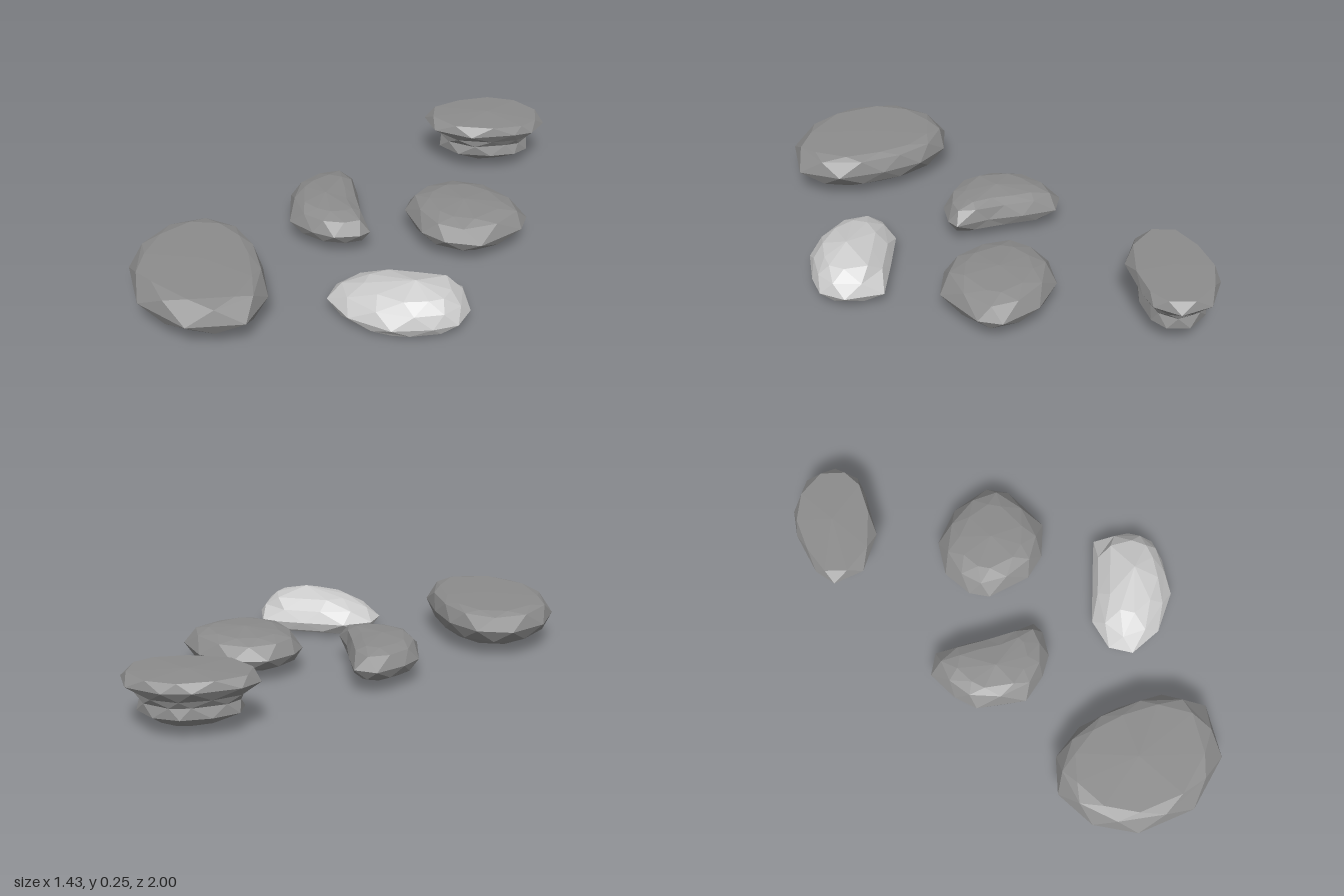
import * as THREE from 'three';

const DARK = 0x8c8c8c, LIGHT = 0xcccccc;

// Side profiles, bottom to top: [fraction of height, scale of the outline]
const flatTop = [[0.04, 0.71], [0.22, 0.92], [0.54, 1], [0.88, 0.94], [0.97, 0.77]];
const domed = [[0.05, 0.72], [0.18, 0.92], [0.46, 1], [0.81, 0.87], [0.93, 0.59]];
const peaked = [[0.05, 0.75], [0.13, 0.92], [0.33, 1], [0.6, 0.89], [0.82, 0.6]];
const waisted = [[0.11, 0.45], [0.3, 0.81], [0.49, 0.72], [0.62, 0.84], [0.81, 1], [0.97, 0.94]];

// Lofts a faceted stone around [x, z]: each ring of the outline is turned half a step from the one below.
// The outline lists [x, z] clockwise from above; lean moves the peak along x.
function stone(name, color, [x, z], [bottom, top], profile, outline, lean = 0) {
  const n = outline.length, pos = [], index = [];
  const addPoint = (h, dx, dz) => pos.push(x + dx + lean * h ** 3, bottom + (top - bottom) * h, z + dz);
  profile.forEach(([h, s], k) => {
    for (let i = 0; i < n; i++) {
      // even rings use the outline points, odd rings the midpoints between them
      const a = outline[(i + Math.floor(k / 2)) % n];
      const b = outline[(i + Math.ceil(k / 2)) % n];
      addPoint(h, ((a[0] + b[0]) / 2 - x) * s, ((a[1] + b[1]) / 2 - z) * s);
    }
  });
  addPoint(0, 0, 0);
  addPoint(1, 0, 0);

  // triangle bands between rings, and a fan at each pole
  const low = profile.length * n, high = low + 1, last = low - n;
  for (let i = 0; i < n; i++) {
    const j = (i + 1) % n;
    for (let r = 0; r < last; r += n) {
      index.push(r + j, r + i, r + n + i, r + j, r + n + i, r + n + j);
    }
    index.push(low, i, j, high, last + j, last + i);
  }
  const geometry = new THREE.BufferGeometry();
  geometry.setAttribute('position', new THREE.Float32BufferAttribute(pos, 3));
  geometry.setIndex(index);
  geometry.computeVertexNormals();
  const mesh = new THREE.Mesh(geometry, new THREE.MeshStandardMaterial({ color, flatShading: true }));
  mesh.name = name;
  return mesh;
}

export function createModel() {
  const group = new THREE.Group();
  group.name = 'steppingStones';

  // front left, the largest
  group.add(stone('largeFlatStone', DARK, [-0.42, 0.65], [0.035, 0.21], flatTop, [
    [-0.72, 0.51], [-0.62, 0.35], [-0.465, 0.315], [-0.32, 0.39], [-0.21, 0.53],
    [-0.115, 0.71], [-0.13, 0.9], [-0.34, 0.995], [-0.58, 0.91], [-0.72, 0.7]]));

  // middle, with a hollow on its right-hand side
  group.add(stone('kidneyStone', DARK, [-0.13, 0], [0.04, 0.19], domed, [
    [-0.31, -0.05], [-0.28, -0.15], [-0.2, -0.27], [-0.1, -0.27], [-0.03, -0.14], [0.03, 0],
    [0.11, 0.12], [0.08, 0.165], [-0.02, 0.21], [-0.12, 0.2], [-0.24, 0.15]]));

  group.add(stone('roundStone', DARK, [0.45, -0.13], [0.04, 0.195], domed, [
    [0.2, -0.18], [0.27, -0.3], [0.41, -0.36], [0.58, -0.32], [0.71, -0.2],
    [0.71, -0.1], [0.58, 0.08], [0.43, 0.1], [0.32, 0.06], [0.2, -0.09]]));

  // front right, pale and peaked
  group.add(stone('paleStone', LIGHT, [0.35, 0.51], [0, 0.195], peaked, [
    [0.075, 0.46], [0.18, 0.37], [0.37, 0.34], [0.56, 0.315], [0.63, 0.46],
    [0.61, 0.57], [0.525, 0.63], [0.375, 0.69], [0.19, 0.66], [0.07, 0.565]], 0.07));

  // back, a broad cap over a narrow waist
  group.add(stone('waistedStone', DARK, [0.38, -0.82], [0.02, 0.255], waisted, [
    [0.1, -0.75], [0.14, -0.84], [0.29, -0.96], [0.4, -1], [0.56, -0.98],
    [0.64, -0.87], [0.61, -0.76], [0.54, -0.71], [0.36, -0.62], [0.18, -0.64]]));

  return group;
}
